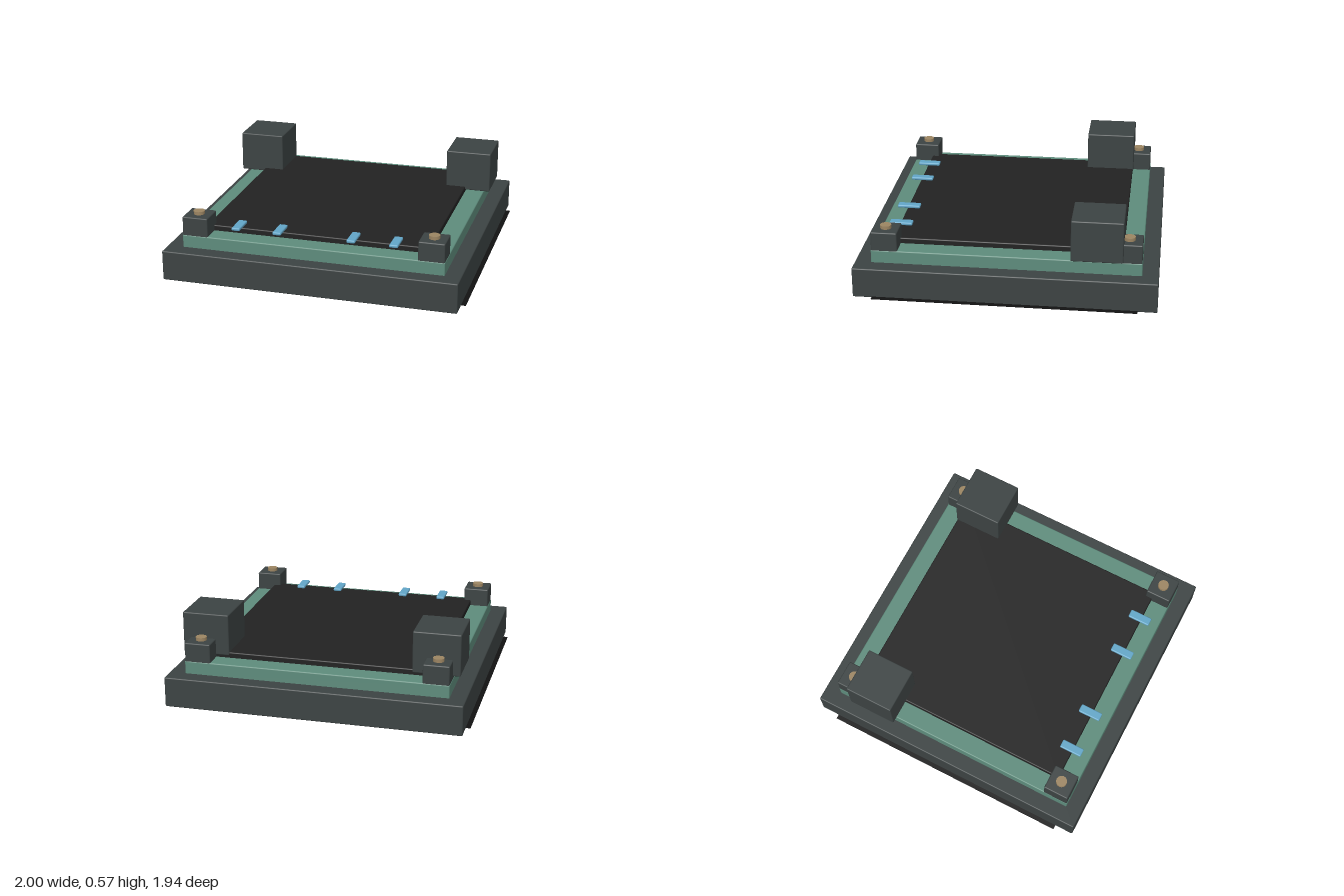
import * as THREE from 'three';
import { RoundedBoxGeometry } from 'three/addons/geometries/RoundedBoxGeometry.js';

function material(name, color) {
  const m = new THREE.MeshStandardMaterial({ color });
  m.name = name;
  return m;
}

export function createModel() {
  const model = new THREE.Group();
  model.name = 'cornerClampedPanel';

  const charcoal = material('charcoal', 0x3c4343);
  const green = material('sageGreen', 0x5e8c7c);
  const black = material('panelBlack', 0x222222);
  const darkest = material('deepBlack', 0x121212);
  const blue = material('tabBlue', 0x62a6c8);
  const bronze = material('boltBronze', 0x9c8562);

  // Softly bevelled block given by size, centre x/z and bottom/top heights
  function block(name, mat, w, d, x, z, y0, y1, bevel = 0.008) {
    const mesh = new THREE.Mesh(new RoundedBoxGeometry(w, y1 - y0, d, 2, bevel), mat);
    mesh.position.set(x, (y0 + y1) / 2, z);
    mesh.name = name;
    model.add(mesh);
    return mesh;
  }

  // Stacked slabs: base, green tray, black panel
  block('base', charcoal, 1.94, 1.94, 0, 0, 0, 0.2);
  block('tray', green, 1.73, 1.73, 0, 0, 0.19, 0.285);
  block('panel', black, 1.48, 1.48, 0, 0, 0.27, 0.322);

  // Thin side flanges sticking out at the foot of the base
  for (const side of [-1, 1]) {
    const flange = new THREE.Mesh(new THREE.BoxGeometry(0.05, 0.004, 1.69), darkest);
    flange.position.set(side * 0.975, 0.006, 0);
    flange.name = 'sideFlange';
    model.add(flange);
  }

  // Corner posts, each with a bolt head
  const boltGeometry = new THREE.CylinderGeometry(0.036, 0.036, 0.024, 24);
  for (const sx of [-1, 1]) {
    for (const sz of [-1, 1]) {
      block('cornerPost', charcoal, 0.17, 0.17, sx * 0.778, sz * 0.778, 0.275, 0.408);
      const bolt = new THREE.Mesh(boltGeometry, bronze);
      bolt.position.set(sx * 0.778, 0.418, sz * 0.778);
      bolt.name = 'bolt';
      model.add(bolt);
    }
    // Large block on each rear corner
    block('rearBlock', charcoal, 0.308, 0.33, sx * 0.758, -0.58, 0.3, 0.575);
  }

  // Contact tabs along the front edge
  for (const x of [-0.523, -0.245, 0.245, 0.523]) {
    block('frontTab', blue, 0.057, 0.152, x, 0.73, 0.322, 0.343);
  }

  return model;
}
